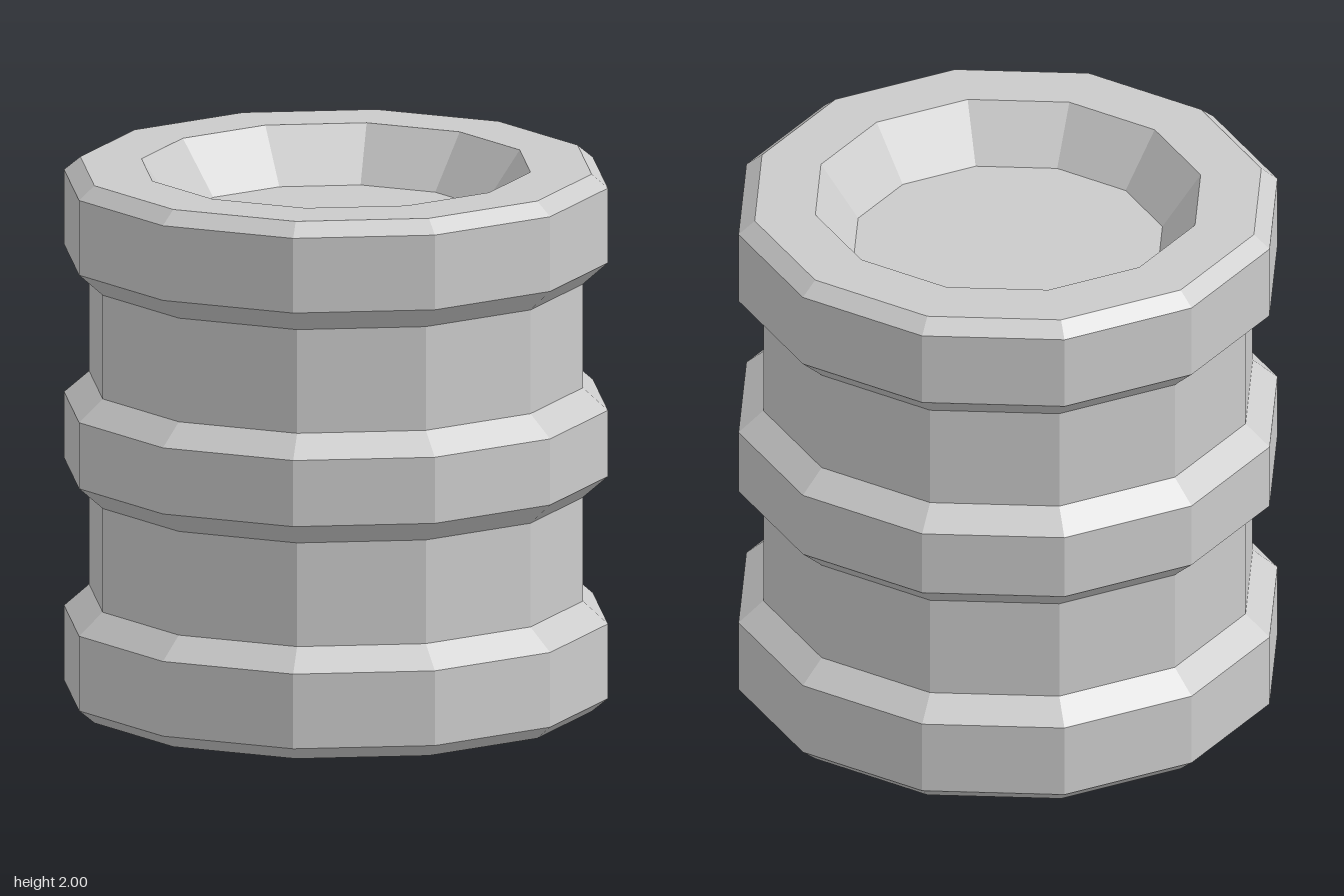
import * as THREE from 'three';

const SIDES = 12;

export function createModel() {
  const model = new THREE.Group();
  model.name = 'ribbedBarrel';

  // Lower half of the profile: recessed base, bottom band, waist, half of the middle band
  const lower = [
    [0, 0.2], [0.573, 0.2], [0.715, 0], // recess floor and rim
    [0.94, 0], [1, 0.05], [1, 0.328], // bottom band
    [0.908, 0.41], [0.908, 0.796], // waist
    [1, 0.877], // middle band
  ];
  // The upper half mirrors the lower one
  const upper = lower.map(([r, y]) => [r, 2 - y]).reverse();
  const profile = [...lower, ...upper].map(([r, y]) => new THREE.Vector2(r, y));

  const body = new THREE.Mesh(
    new THREE.LatheGeometry(profile, SIDES),
    new THREE.MeshStandardMaterial({ color: 0xcccccc, flatShading: true })
  );
  body.name = 'barrelBody';
  model.add(body);

  return model;
}
